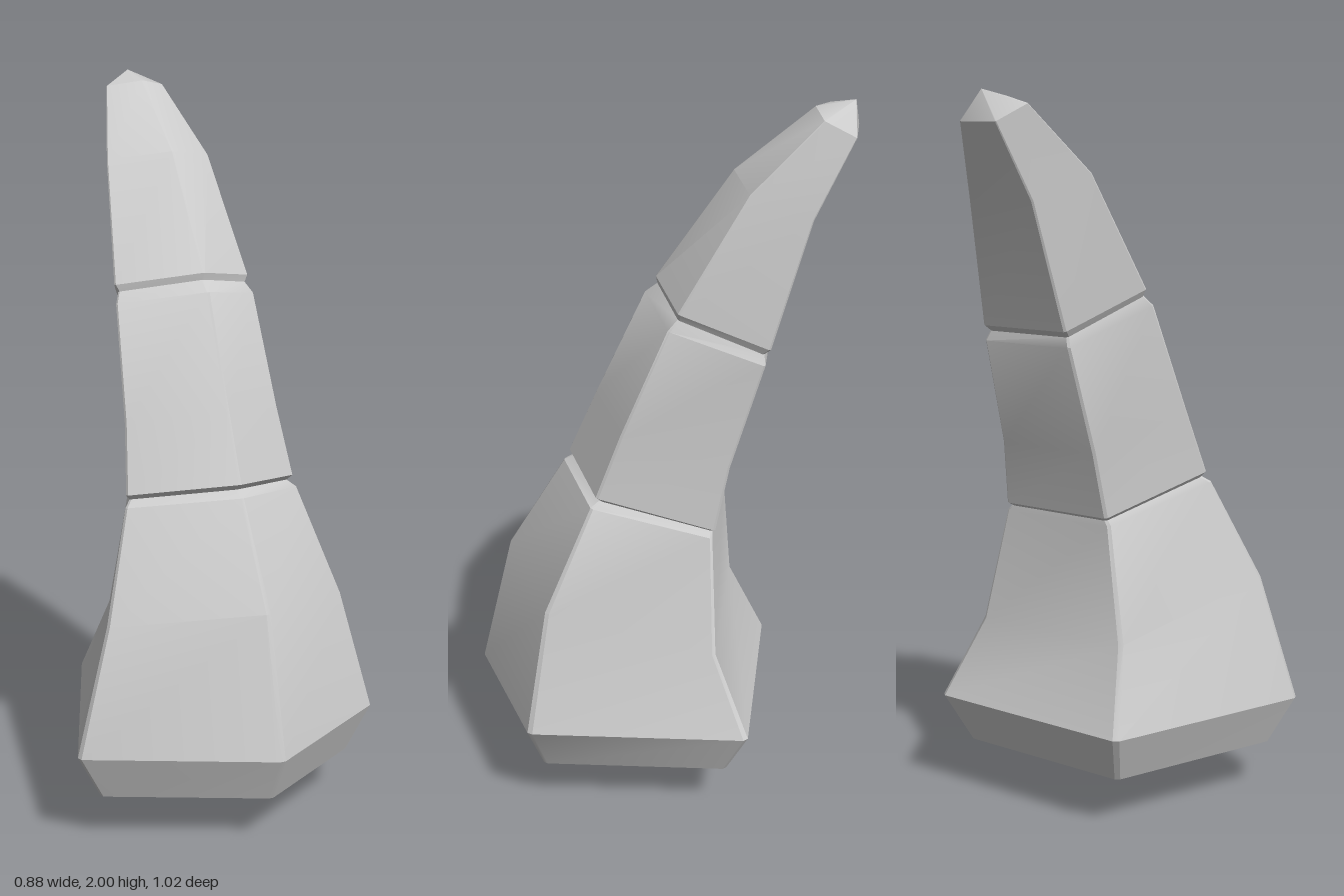
import * as THREE from 'three';
import { toCreasedNormals } from 'three/addons/utils/BufferGeometryUtils.js';

// Five-sided section: u across the width, t from the back (0) to the front (1)
const corners = [[0.04, 1], [0.41, 0.72], [0.325, 0], [-0.28, 0.055], [-0.47, 0.755]];

// Each corner is cut by a narrow chamfer
const section = corners.flatMap((c, i) =>
  [corners[(i + 4) % 5], corners[(i + 1) % 5]].map((n) => [
    c[0] + (n[0] - c[0]) * 0.018,
    c[1] + (n[1] - c[1]) * 0.018,
  ]));

// A ring is [centre x, width scale, front z, front y, back z, back y]; unequal heights tilt it
function loft(name, rings) {
  const points = rings.map(([x, w, fz, fy, bz, by]) =>
    section.map(([u, t]) => new THREE.Vector3(x + u * w, by + (fy - by) * t, bz + (fz - bz) * t)));
  const positions = [];
  const triangle = (a, b, c) => {
    // Collapsed triangles at the pointed ends are left out
    if (a.distanceTo(b) > 1e-6 && b.distanceTo(c) > 1e-6 && c.distanceTo(a) > 1e-6) {
      for (const p of [a, b, c]) positions.push(p.x, p.y, p.z);
    }
  };
  const n = section.length;
  for (let i = 0; i < rings.length - 1; i++) {
    for (let j = 0; j < n; j++) {
      const k = (j + 1) % n;
      triangle(points[i][j], points[i][k], points[i + 1][k]);
      triangle(points[i][j], points[i + 1][k], points[i + 1][j]);
    }
  }
  const geometry = new THREE.BufferGeometry();
  geometry.setAttribute('position', new THREE.Float32BufferAttribute(positions, 3));
  const mesh = new THREE.Mesh(
    toCreasedNormals(geometry, 0.45),
    new THREE.MeshStandardMaterial({ color: 0xcccccc }));
  mesh.name = name;
  return mesh;
}

export function createModel() {
  // Grooves shared by neighbouring segments
  const lowerGroove = [0.023, 0.53, 0.228, 0.968, -0.187, 0.85];
  const upperGroove = [0.016, 0.425, -0.004, 1.492, -0.309, 1.362];

  const group = new THREE.Group();
  group.name = 'horn';
  group.add(
    // Wide root with a pointed underside
    loft('hornRoot', [
      [0.03, 0, 0.1, 0, 0.1, 0],
      [0.03, 0.85, 0.45, 0.15, -0.255, 0.15],
      [0.03, 1, 0.513, 0.29, -0.32, 0.29],
      [0.03, 0.785, 0.42, 0.68, -0.215, 0.51],
      [0.025, 0.575, 0.258, 0.952, -0.19, 0.835],
      lowerGroove,
    ]),
    // Middle segment
    loft('hornMiddle', [
      lowerGroove,
      [0.025, 0.56, 0.242, 0.985, -0.197, 0.858],
      [0.022, 0.51, 0.165, 1.165, -0.23, 1.04],
      [0.018, 0.46, 0.03, 1.465, -0.315, 1.335],
      upperGroove,
    ]),
    // Tip segment bending backwards
    loft('hornTip', [
      upperGroove,
      [0.016, 0.447, 0.0, 1.512, -0.327, 1.378],
      [0.005, 0.34, -0.2, 1.81, -0.42, 1.72],
      [-0.008, 0.19, -0.4, 1.98, -0.512, 1.92],
      [-0.01, 0, -0.5, 2, -0.5, 2],
    ]));
  return group;
}
